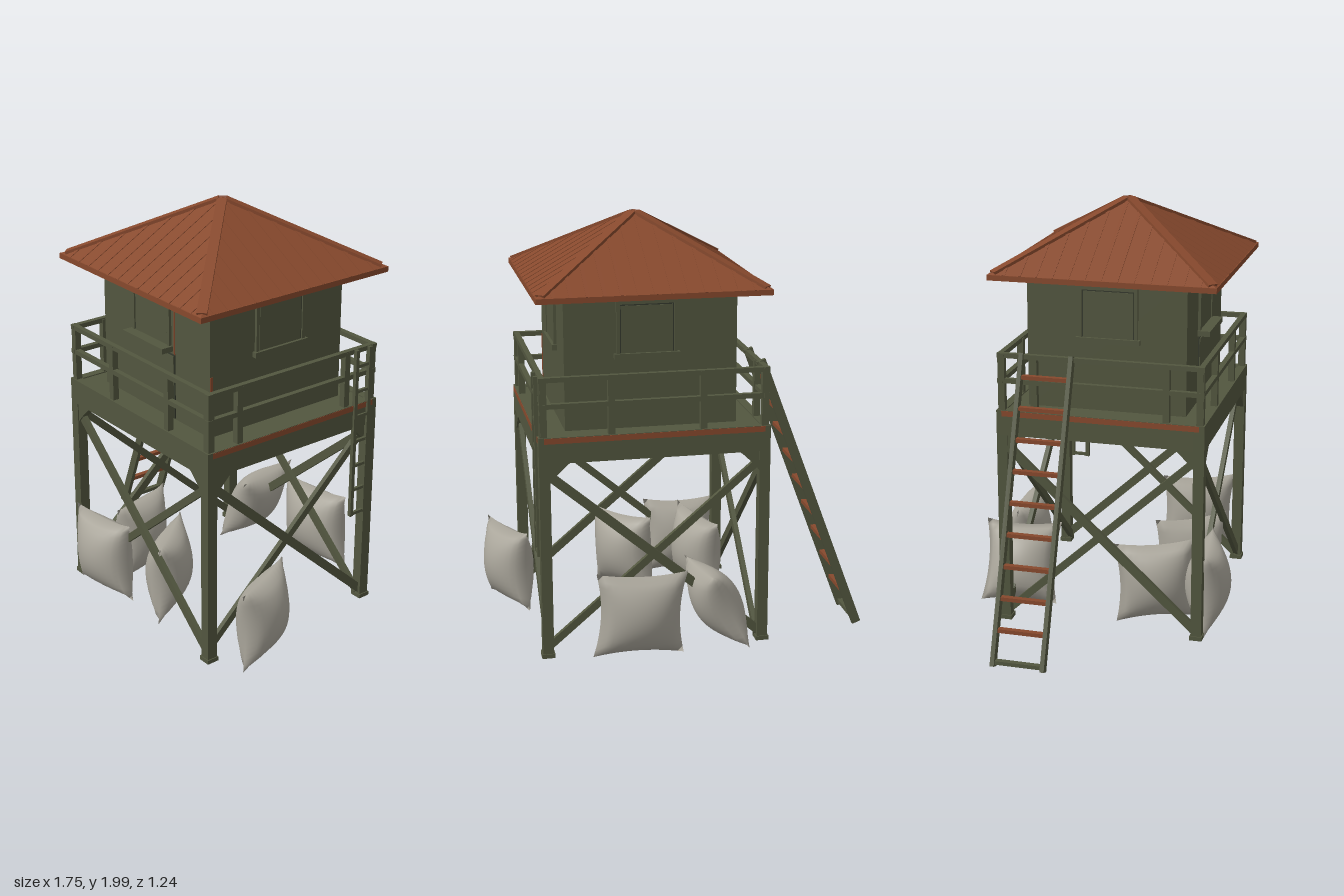
import * as THREE from 'three';
import { mergeVertices } from 'three/addons/utils/BufferGeometryUtils.js';

const paint = (name, color) => {
  const m = new THREE.MeshStandardMaterial({ color });
  m.name = name;
  return m;
};

export function createModel() {
  const green = paint('olive paint', 0x52563f);
  const dark = paint('dark olive', 0x34382c);
  const rust = paint('rusty metal', 0x87492d);
  const brown = paint('dark brown boards', 0x593828);
  const cloth = paint('sack cloth', 0xaaa69b);

  const model = new THREE.Group();
  model.name = 'watchtower';
  const V = (x, y, z) => new THREE.Vector3(x, y, z);
  const UP = V(0, 1, 0);
  const add = (parent, name, geo, mat, x = 0, y = 0, z = 0) => {
    const m = new THREE.Mesh(geo, mat);
    m.name = name;
    m.position.set(x, y, z);
    parent.add(m);
    return m;
  };
  const box = (parent, name, mat, w, h, d, x, y, z) =>
    add(parent, name, new THREE.BoxGeometry(w, h, d), mat, x, y, z);
  // Rectangular bar between two points, in the parent's own frame
  const beam = (parent, name, mat, a, b, w, h) => {
    const m = box(parent, name, mat, w, h, a.distanceTo(b), 0, 0, 0);
    m.position.copy(a).add(b).multiplyScalar(0.5);
    m.quaternion.setFromRotationMatrix(new THREE.Matrix4().lookAt(a, b, UP));
    return m;
  };
  const group = (name, parent = model) => {
    const g = new THREE.Group();
    g.name = name;
    parent.add(g);
    return g;
  };

  // Tower body, centred on its own axis
  const tower = group('tower');
  tower.position.set(0.15, 0, 0.03);
  const LX = 0.505, LZ = 0.465;

  // Legs with foot plates
  for (const sx of [-1, 1]) for (const sz of [-1, 1]) {
    box(tower, 'leg', green, 0.05, 1.0, 0.05, sx * LX, 0.53, sz * LZ);
    box(tower, 'foot', green, 0.06, 0.02, 0.06, sx * LX, 0.03, sz * LZ);
  }

  // Platform floor, painted above and bare boards below
  box(tower, 'floorTop', green, 1.03, 0.02, 0.95, 0, 1.055, 0);
  box(tower, 'floorUnderside', brown, 1.02, 0.02, 0.94, 0, 1.03, 0);

  // Corner gusset profile
  const gusset = new THREE.Shape([[0, 0], [0, -0.1], [0.025, -0.07], [0.07, -0.025], [0.1, 0]]
    .map(p => new THREE.Vector2(...p)));
  const gussetGeo = new THREE.ExtrudeGeometry(gusset, { depth: 0.04, bevelEnabled: false });
  gussetGeo.translate(0, 0, -0.02);

  // Four sides: rim beam, braces, gussets and railing
  for (let i = 0; i < 4; i++) {
    const side = group('side' + i, tower);
    side.rotation.y = i * Math.PI / 2;
    const w = i % 2 ? LZ : LX, d = i % 2 ? LX : LZ;
    box(side, 'rimBeam', green, 2 * w + 0.05, 0.12, 0.04, 0, 1.01, d + 0.005);
    if (i) box(side, 'rustyEdge', rust, 2 * w, 0.026, 0.006, 0, 1.055, d + 0.024);
    beam(side, 'brace', green, V(-w + 0.02, 0.89, d), V(w, 0.05, d), 0.022, 0.04);
    beam(side, 'brace', green, V(w - 0.02, 0.89, d - 0.024), V(-w, 0.05, d - 0.024), 0.022, 0.034);
    for (const s of [-1, 1]) {
      const g = add(side, 'gusset', gussetGeo, green, s * (w - 0.022), 0.955, d);
      if (s > 0) g.rotation.y = Math.PI;
    }
    for (const y of [1.33, 1.21])
      box(side, 'rail', green, 2 * w + 0.04, 0.022, 0.025, 0, y, d + 0.005);
    for (const x of [-w, i % 2 ? -0.31 : -0.2, i % 2 ? 0.31 : 0.22, w])
      box(side, 'railPost', green, 0.03, 0.27, 0.03, x, 1.2, d + 0.003);
  }

  // Cabin with windows on every wall
  const cabin = group('cabin', tower);
  box(cabin, 'walls', green, 0.79, 0.64, 0.75, 0, 1.38, 0);
  for (let i = 0; i < 4; i++) {
    const wall = group('windowWall' + i, cabin);
    wall.rotation.y = i * Math.PI / 2;
    const d = i % 2 ? 0.395 : 0.375;
    const x = i % 2 ? 0.01 : -0.02;
    box(wall, 'windowOutline', dark, 0.26, 0.24, 0.006, x, 1.52, d + 0.003);
    box(wall, 'windowPane', green, 0.235, 0.215, 0.009, x, 1.52, d + 0.0045);
    for (const s of [-1, 1]) {
      box(wall, 'windowFrame', green, 0.016, 0.26, 0.016, x + s * 0.131, 1.52, d + 0.005);
      box(wall, 'windowFrame', green, 0.278, 0.016, 0.016, x, 1.52 + s * 0.122, d + 0.005);
    }
    box(wall, 'windowSill', green, 0.3, 0.025, i ? 0.025 : 0.06, x, 1.4, d + (i ? 0.01 : 0.03));
  }
  // Door panel below the front window, rust streaks beside it and on a corner
  box(cabin, 'doorOutline', dark, 0.295, 0.305, 0.006, 0, 1.223, 0.377);
  box(cabin, 'doorPanel', green, 0.285, 0.3, 0.009, 0, 1.22, 0.379);
  box(cabin, 'rustStreak', rust, 0.007, 0.28, 0.004, 0.143, 1.5, 0.376);
  box(cabin, 'rustStreak', rust, 0.004, 0.28, 0.012, 0.396, 1.21, 0.368);

  // Hipped roof with eave slab, hip caps and thin ribs
  const roof = group('roof', tower);
  roof.position.set(0.005, 0, 0.003);
  const R = 0.525, eave = 1.7, rise = 0.295;
  const pyramid = new THREE.ConeGeometry(R * Math.SQRT2, rise, 4, 1, true);
  pyramid.rotateY(Math.PI / 4);
  const cone = pyramid.toNonIndexed();
  cone.computeVertexNormals();
  add(roof, 'roofPanels', cone, rust, 0, eave + rise / 2, 0);
  box(roof, 'eave', rust, 2 * R + 0.005, 0.025, 2 * R + 0.005, 0, eave - 0.011, 0);
  box(roof, 'roofUnderside', brown, 2 * R - 0.03, 0.006, 2 * R - 0.03, 0, eave - 0.024, 0);
  const height = d => eave + rise * (1 - d / R);
  for (let i = 0; i < 4; i++) {
    const panel = group('roofSide' + i, roof);
    panel.rotation.y = i * Math.PI / 2;
    beam(panel, 'hipCap', rust, V(0.01, height(0.01) - 0.004, 0.01), V(R - 0.02, height(R - 0.02) - 0.006, R - 0.02), 0.045, 0.02);
    for (let k = -6; k <= 6; k++) {
      const u = k * 0.075, near = Math.abs(u) + 0.02;
      beam(panel, 'roofRib', rust, V(u, height(near), near), V(u, eave, R), 0.016, 0.005);
    }
  }

  // Leaning ladder on the -x side of the tower
  const ladder = group('ladder');
  const foot = V(-0.86, 0.015, 0), head = V(-0.362, 1.345, 0);
  for (const z of [-0.335, -0.1])
    beam(ladder, 'ladderRail', green, foot.clone().setZ(z), head.clone().setZ(z), 0.02, 0.042);
  for (let k = 0; k < 10; k++) {
    const p = foot.clone().lerp(head, 0.015 + k * 0.101);
    box(ladder, 'ladderRung', k ? rust : green, 0.026, 0.018, 0.22, p.x, p.y, -0.2175);
  }

  // Short hanging ladder by the rear left leg
  const hanging = group('hangingLadder');
  for (const z of [-0.325, -0.405])
    box(hanging, 'hangingRail', green, 0.018, 0.84, 0.018, 0.682, 0.92, z);
  for (let k = 0; k < 7; k++)
    box(hanging, 'hangingRung', green, 0.014, 0.014, 0.08, 0.682, 0.51 + k * 0.125, -0.365);

  // Sack: a square cushion with pinched edges and pointed corners
  const cushion = new THREE.BoxGeometry(2, 2, 2, 14, 14, 1);
  cushion.deleteAttribute('uv');
  cushion.deleteAttribute('normal');
  const p = cushion.attributes.position;
  for (let i = 0; i < p.count; i++) {
    const u = p.getX(i), v = p.getY(i);
    const puff = Math.pow(Math.max(0, (1 - u * u) * (1 - v * v)), 0.6);
    p.setXYZ(i,
      0.195 * u * (1 - 0.13 * (1 - v * v)),
      0.2 * v * (1 - 0.1 * (1 - u * u)),
      Math.sign(p.getZ(i)) * 0.11 * puff);
  }
  const sack = mergeVertices(cushion, 1e-4);
  sack.computeVertexNormals();
  // x, z, turn, roll, lean, width scale
  [
    [-0.155, 0.505, 0.1, 0.04, 0, 1],
    [0.755, 0.265, 1.98, 0.03, 0, 1],
    [0.16, 0.35, 2.25, 0.03, 0.03, 1],
    [-0.2, 0.26, 1.9, -0.04, 0, 1],
    [0.235, -0.512, Math.PI + 0.05, -0.05, 0, 1.1],
    [-0.14, -0.43, 1.75, 0.03, 0.45, 0.95],
  ].forEach(([x, z, turn, roll, lean, wide], i) => {
    const m = add(model, 'sack' + i, sack, cloth, x, 0.224, z);
    m.rotation.set(lean, turn, roll, 'YXZ');
    m.scale.x = wide;
  });

  return model;
}
